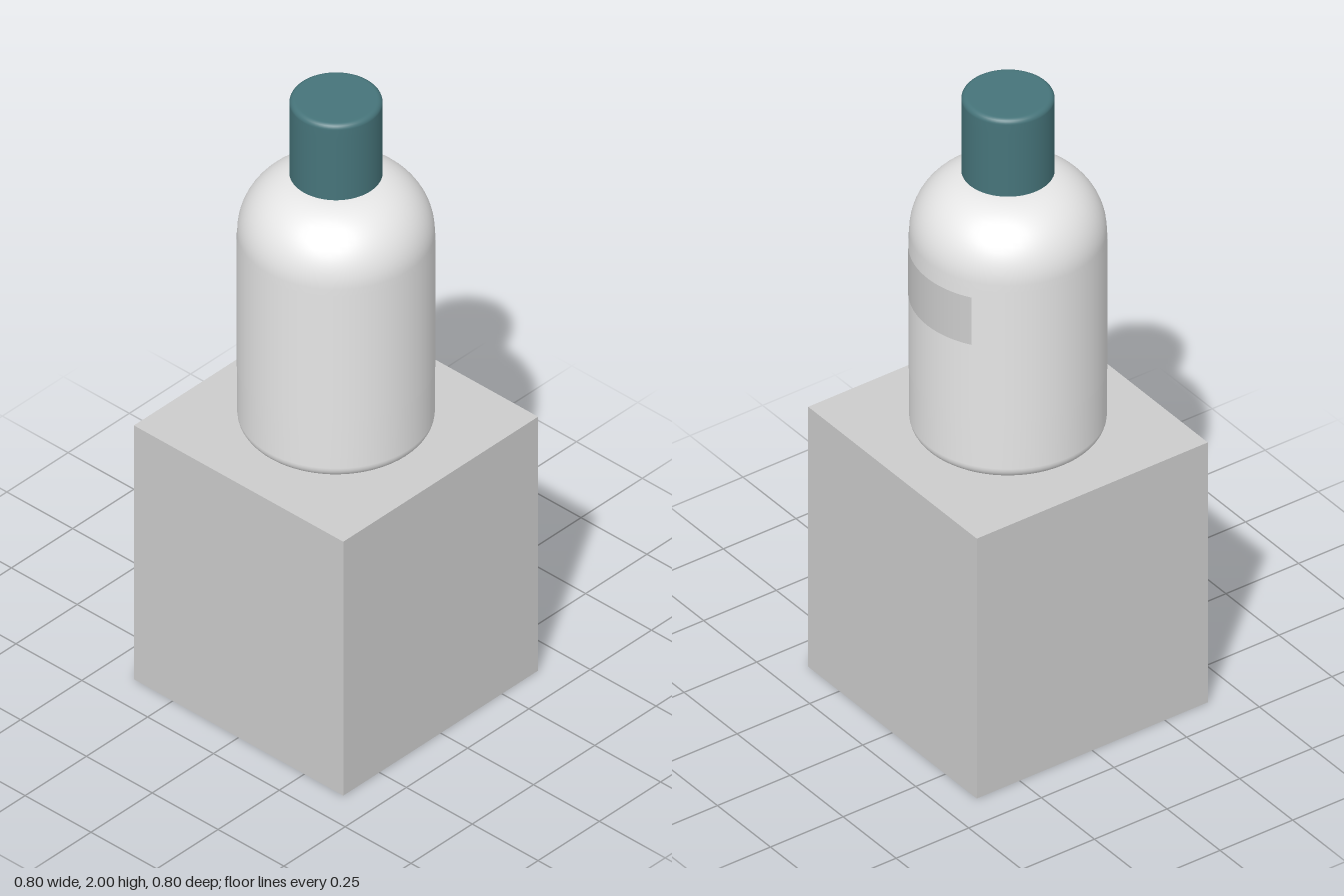
import * as THREE from 'three';

const mat = (name, color) => Object.assign(new THREE.MeshStandardMaterial({ color }), { name });

export function createModel() {
  const group = new THREE.Group();
  const stone = mat('plinth grey', 0xcccccc);
  const white = mat('bottle white', 0xe6e6e6);
  const teal = mat('cap teal', 0x46747a);
  const print = mat('label grey', 0xcccccc);
  print.side = white.side = THREE.DoubleSide;

  const add = (name, geometry, material, y = 0) => {
    const mesh = new THREE.Mesh(geometry, material);
    mesh.name = name;
    mesh.position.y = y;
    group.add(mesh);
    return mesh;
  };
  // Quarter-round profile points, swept between two angles
  const arc = (cx, cy, r, from, to, n) => Array.from({ length: n + 1 }, (_, i) => {
    const a = from + (to - from) * i / n;
    return new THREE.Vector2(cx + r * Math.cos(a), cy + r * Math.sin(a));
  });
  const P = (x, y) => new THREE.Vector2(x, y);
  const Q = Math.PI / 2;

  // Square plinth
  add('plinth', new THREE.BoxGeometry(0.795, 0.88, 0.795), stone, 0.44);

  // Bottle with rounded base and domed shoulder
  add('bottleBody', new THREE.LatheGeometry([
    P(0, 0.88), P(0.12, 0.88), P(0.225, 0.88),
    ...arc(0.235, 0.92, 0.04, -Q, 0, 8),
    P(0.275, 1.1), P(0.275, 1.3), P(0.275, 1.5),
    ...arc(0.09, 1.54, 0.185, 0, Q, 18),
    P(0, 1.725),
  ], 64), white);
  add('neck', new THREE.CylinderGeometry(0.095, 0.095, 0.06, 48), white, 1.74);

  // Thin wrap around the bottle and the printed panel on its left side
  add('wrap', new THREE.CylinderGeometry(0.2765, 0.2765, 0.44, 64, 1, true), white, 1.3);
  const half = 0.565;
  add('labelPanel', new THREE.CylinderGeometry(0.278, 0.278, 0.16, 24, 1, true, Q - half, half * 2), print, 1.41);

  // Cap with softened top edge; separate discs keep the flat ends crisp
  add('cap', new THREE.LatheGeometry([
    P(0.13, 1.742), P(0.13, 1.8), P(0.13, 1.95),
    ...arc(0.114, 1.984, 0.016, 0, Q, 6),
    P(0.1, 2), P(0, 2),
  ], 64), teal);
  const underside = add('capUnderside', new THREE.CircleGeometry(0.13, 64), teal, 1.742);
  underside.rotation.x = Q;

  return group;
}
